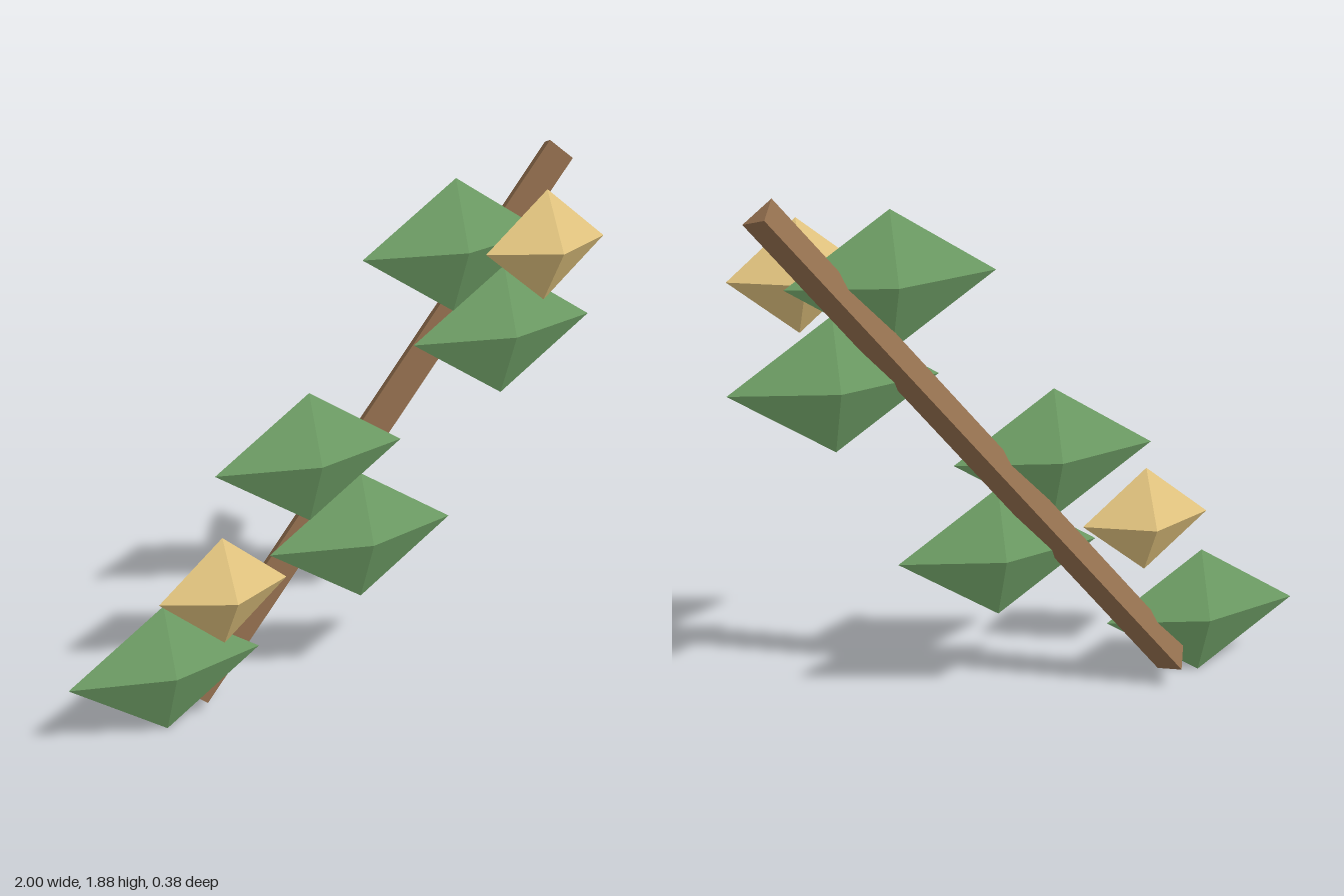
import * as THREE from 'three';

const mat = (color) => new THREE.MeshStandardMaterial({ color, flatShading: true });

export function createModel() {
  const group = new THREE.Group();
  const stemMat = mat(0x94704f);
  const leafMat = mat(0x6f9f66);
  const flowerMat = mat(0xe4c680);

  // Slanted three-sided stem, flat face to the front and ridge at the back
  const bottom = new THREE.Vector2(-0.533, 0.083);
  const top = new THREE.Vector2(0.878, 1.842);
  const axis = top.clone().sub(bottom);
  const stem = new THREE.Mesh(
    new THREE.CylinderGeometry(0.07, 0.07, axis.length(), 3, 1, false, Math.PI), stemMat);
  stem.name = 'stem';
  stem.position.set((top.x + bottom.x) / 2, (top.y + bottom.y) / 2, -0.123);
  stem.rotation.z = -Math.atan2(axis.x, axis.y);
  group.add(stem);

  // Leaves and flowers are stretched octahedra
  const octahedron = new THREE.OctahedronGeometry(1);
  const addGem = (name, material, position, halfSize) => {
    const mesh = new THREE.Mesh(octahedron, material);
    mesh.name = name;
    mesh.position.set(...position);
    mesh.scale.set(...halfSize);
    group.add(mesh);
  };

  // Leaves climbing the stem on alternating sides
  [[-0.65, 0.237], [0.097, 0.571], [-0.1, 0.904], [0.647, 1.238], [0.45, 1.571]].forEach(([x, y], i) =>
    addGem(`leaf${i + 1}`, leafMat, [x, y, -0.062], [0.35, 0.234, 0.097]));

  // Flowers in front of the leaves
  [[-0.49, 0.553], [0.723, 1.571]].forEach(([x, y], i) =>
    addGem(`flower${i + 1}`, flowerMat, [x, y, 0.075], [0.232, 0.194, 0.116]));

  return group;
}
